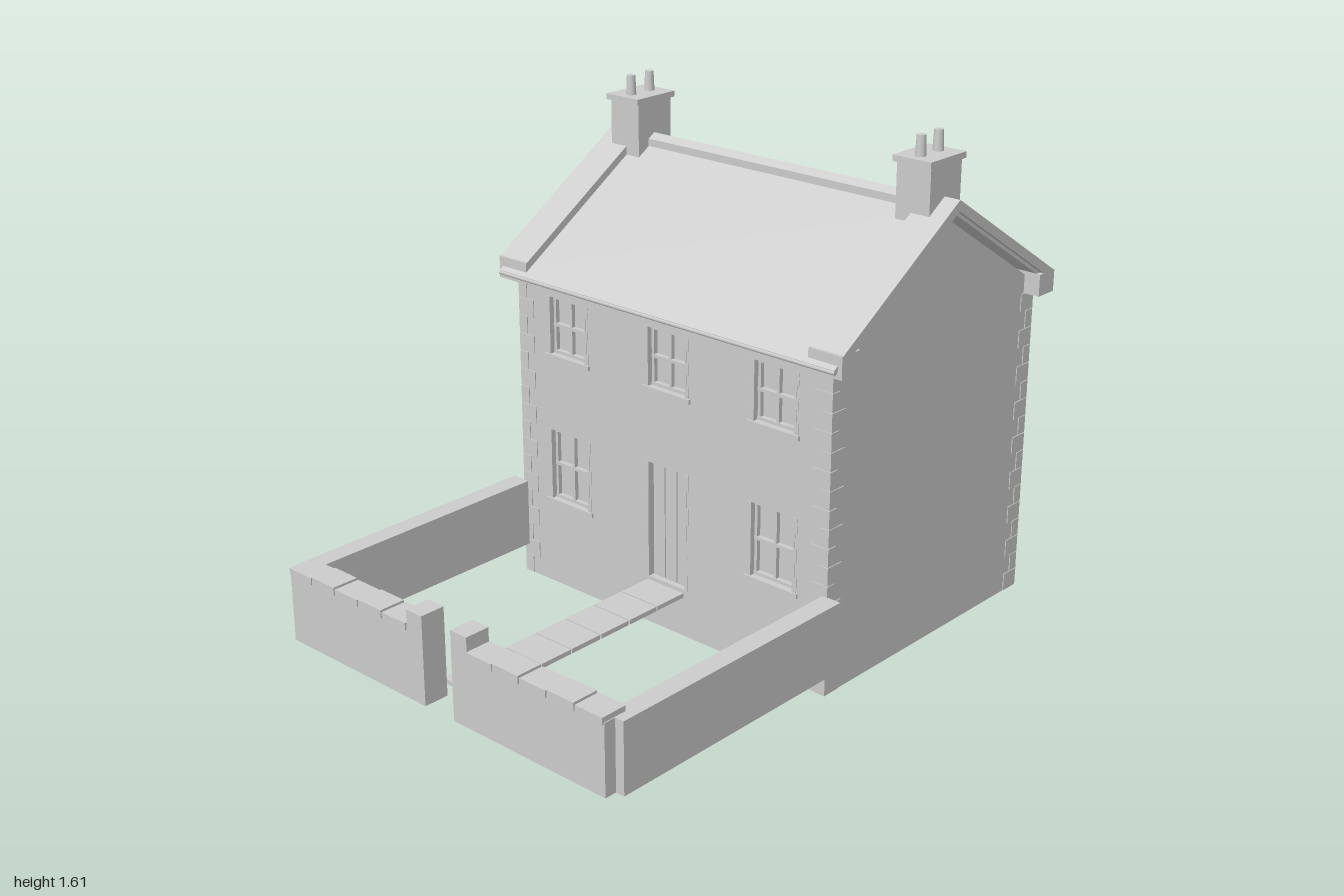
import * as THREE from 'three';

const stone = new THREE.MeshStandardMaterial({ color: 0xcccccc, side: THREE.DoubleSide });
stone.name = 'pale stone';

const CX = 0.4475, HW = 0.4975, HD = 0.63, SLOPE = 0.634; // house centre, half width, half depth

function add(parent, name, geometry, x = 0, y = 0, z = 0) {
  const mesh = new THREE.Mesh(geometry, stone);
  mesh.name = name;
  mesh.position.set(x, y, z);
  parent.add(mesh);
  return mesh;
}

// Box given by its limits on each axis
function box(parent, name, x0, x1, y0, y1, z0, z1) {
  return add(parent, name, new THREE.BoxGeometry(x1 - x0, y1 - y0, z1 - z0),
    (x0 + x1) / 2, (y0 + y1) / 2, (z0 + z1) / 2);
}

// Polygon in x and y, extruded from z0 to z1
function prism(parent, name, points, z0, z1) {
  const shape = new THREE.Shape(points.map(([x, y]) => new THREE.Vector2(x, y)));
  const geometry = new THREE.ExtrudeGeometry(shape, { depth: z1 - z0, bevelEnabled: false });
  return add(parent, name, geometry, 0, 0, z0);
}

// Sash window with surround, glazing bars and sill, in facade coordinates
function sashWindow(wall, u, y0, y1, w) {
  const g = new THREE.Group();
  g.name = 'window';
  const a = u - w / 2, b = u + w / 2, m = (y0 + y1) / 2, t = 0.01;
  box(g, 'pane', a, b, y0, y1, -0.036, -0.03);
  for (const x of [a, u - t / 2, b - t]) box(g, 'upright', x, x + t, y0, y1, -0.03, -0.016);
  for (const y of [y0, m - t / 2, y1 - t]) box(g, 'crossBar', a, b, y, y + t, -0.03, -0.014);
  box(g, 'sill', a - 0.022, b + 0.022, y0 - 0.015, y0, -0.03, 0.008);
  // Alternating jamb stones
  const n = 5, h = (y1 - y0) / n;
  for (let i = 0; i < n; i++) {
    const l = i % 2 ? 0.008 : 0.016;
    box(g, 'jambStone', a - l, a, y0 + i * h, y0 + (i + 1) * h, -0.03, 0.002);
    box(g, 'jambStone', b, b + l, y0 + i * h, y0 + (i + 1) * h, -0.03, 0.002);
  }
  wall.add(g);
}

// Planked door set back in its opening
function plankDoor(wall, u, y0, y1, w) {
  const g = new THREE.Group();
  g.name = 'door';
  const a = u - w / 2, p = w / 3;
  for (let i = 0; i < 3; i++) {
    box(g, 'plank', a + i * p + 0.002, a + (i + 1) * p - 0.002, y0, y1, -0.035, -0.02);
  }
  box(g, 'doorBack', a, a + w, y0, y1, -0.04, -0.034);
  const n = 7, h = (y1 - y0) / n;
  for (let i = 0; i < n; i++) {
    const l = i % 2 ? 0.006 : 0.014;
    box(g, 'jambStone', a - l, a, y0 + i * h, y0 + (i + 1) * h, -0.03, 0.002);
    box(g, 'jambStone', a + w, a + w + l, y0 + i * h, y0 + (i + 1) * h, -0.03, 0.002);
  }
  wall.add(g);
}

// Long wall pierced by its windows and door; each opening is [u, y0, y1, width]
function facade(parent, name, side, windows, door) {
  const g = new THREE.Group();
  g.name = name;
  const shape = new THREE.Shape();
  shape.moveTo(-HD, 0).lineTo(HD, 0).lineTo(HD, 1.05).lineTo(-HD, 1.05).closePath();
  for (const [u, y0, y1, w] of [...windows, door]) {
    const hole = new THREE.Path();
    hole.moveTo(u - w / 2, y0).lineTo(u - w / 2, y1).lineTo(u + w / 2, y1).lineTo(u + w / 2, y0).closePath();
    shape.holes.push(hole);
  }
  add(g, 'longWall', new THREE.ExtrudeGeometry(shape, { depth: 0.04, bevelEnabled: false }), 0, 0, -0.04);
  windows.forEach(o => sashWindow(g, ...o));
  plankDoor(g, ...door);
  g.position.x = CX + side * HW;
  g.rotation.y = side * Math.PI / 2;
  parent.add(g);
}

function buildHouse(root) {
  const house = new THREE.Group();
  house.name = 'house';
  root.add(house);
  facade(house, 'gardenFacade', -1, [
    [-0.42, 0.3, 0.54, 0.16], [0.42, 0.3, 0.54, 0.16],
    [-0.42, 0.8, 0.99, 0.15], [0, 0.8, 0.99, 0.15], [0.42, 0.8, 0.99, 0.15],
  ], [0, 0.16, 0.55, 0.15]);
  facade(house, 'rearFacade', 1, [
    [-0.33, 0.34, 0.53, 0.145], [-0.33, 0.8, 0.975, 0.13], [0.285, 0.8, 0.975, 0.13],
  ], [0.285, 0.17, 0.515, 0.15]);

  for (const s of [-1, 1]) {
    // Gable wall
    const z = s * HD, inner = s * (HD - 0.03);
    prism(house, 'gableWall', [[CX - HW, 0], [CX + HW, 0], [CX + HW, 1.05], [CX, 1.365], [CX - HW, 1.05]],
      Math.min(z, inner), Math.max(z, inner));
    // Alternating corner stones
    for (const e of [-1, 1]) for (let i = 0; i < 17; i++) {
      const lx = i % 2 ? 0.035 : 0.065, lz = i % 2 ? 0.065 : 0.035;
      add(house, 'cornerStone', new THREE.BoxGeometry(lx, 0.058, lz),
        CX + e * (HW + 0.003 - lx / 2), 0.03 + i * 0.06, s * (HD + 0.003 - lz / 2));
    }
  }
}

// Sloping strip on one side of the ridge, as a section in x and y
function slopeStrip(e, reach, top, thick) {
  const x = CX + e * reach, drop = reach * SLOPE;
  return [[CX, top], [x, top - drop], [x, top - drop - thick], [CX, top - thick]];
}

function buildRoof(root) {
  const roof = new THREE.Group();
  roof.name = 'roof';
  root.add(roof);
  for (const e of [-1, 1]) {
    prism(roof, 'roofSlope', slopeStrip(e, 0.545, 1.396, 0.018), -0.67, 0.67);
    prism(roof, 'ridgeTiles', slopeStrip(e, 0.026, 1.42, 0.028), -0.57, 0.57);
    const gutter = add(roof, 'gutter', new THREE.CylinderGeometry(0.008, 0.008, 1.34, 8), CX + e * 0.54, 1.042, 0);
    gutter.rotation.x = Math.PI / 2;
    for (const s of [-1, 1]) {
      const z0 = s < 0 ? -0.685 : 0.565, z1 = z0 + 0.12;
      prism(roof, 'gableCoping', slopeStrip(e, 0.525, 1.424, 0.034), z0, z1);
      const a = CX + e * 0.45, b = CX + e * 0.53;
      box(roof, 'kneelerStone', Math.min(a, b), Math.max(a, b), 1.02, 1.09, z0, z1);
    }
  }
  // Chimneys with paired pots
  for (const s of [-1, 1]) {
    const z = s * 0.57;
    box(roof, 'chimneyStack', 0.375, 0.525, 1.345, 1.525, z - 0.06, z + 0.06);
    box(roof, 'chimneyCap', 0.362, 0.535, 1.523, 1.542, z - 0.068, z + 0.068);
    for (const x of [0.405, 0.49]) {
      add(roof, 'chimneyPot', new THREE.CylinderGeometry(0.014, 0.017, 0.065, 12), x, 1.573, z);
    }
  }
}

function buildGarden(root) {
  const garden = new THREE.Group();
  garden.name = 'garden';
  root.add(garden);
  for (const s of [-1, 1]) {
    const span = (name, x0, x1, y0, y1, a, b) =>
      box(garden, name, x0, x1, y0, y1, Math.min(s * a, s * b), Math.max(s * a, s * b));
    span('sideWall', -0.955, -0.05, 0.1, 0.325, 0.615, 0.68);
    span('endWall', -0.995, -0.955, 0.1, 0.325, 0.1, 0.65);
    span('gatePier', -0.995, -0.912, 0.1, 0.385, 0.06, 0.125);
    // Coping stones with narrow joints and slightly uneven tops
    for (let i = 0; i < 5; i++) {
      const a = 0.127 + i * 0.105;
      span('copingStone', -1, -0.912, 0.32, 0.342 + (i % 2) * 0.004, a, a + 0.1);
    }
  }
  // Paving slabs up to the door
  for (let i = 0; i < 7; i++) {
    const x = -0.91 + i * 0.123;
    box(garden, 'pathSlab', x, x + 0.118, 0.135, 0.15, -0.078, 0.073);
  }
}

export function createModel() {
  const model = new THREE.Group();
  model.name = 'cottage';
  buildHouse(model);
  buildRoof(model);
  buildGarden(model);
  return model;
}
